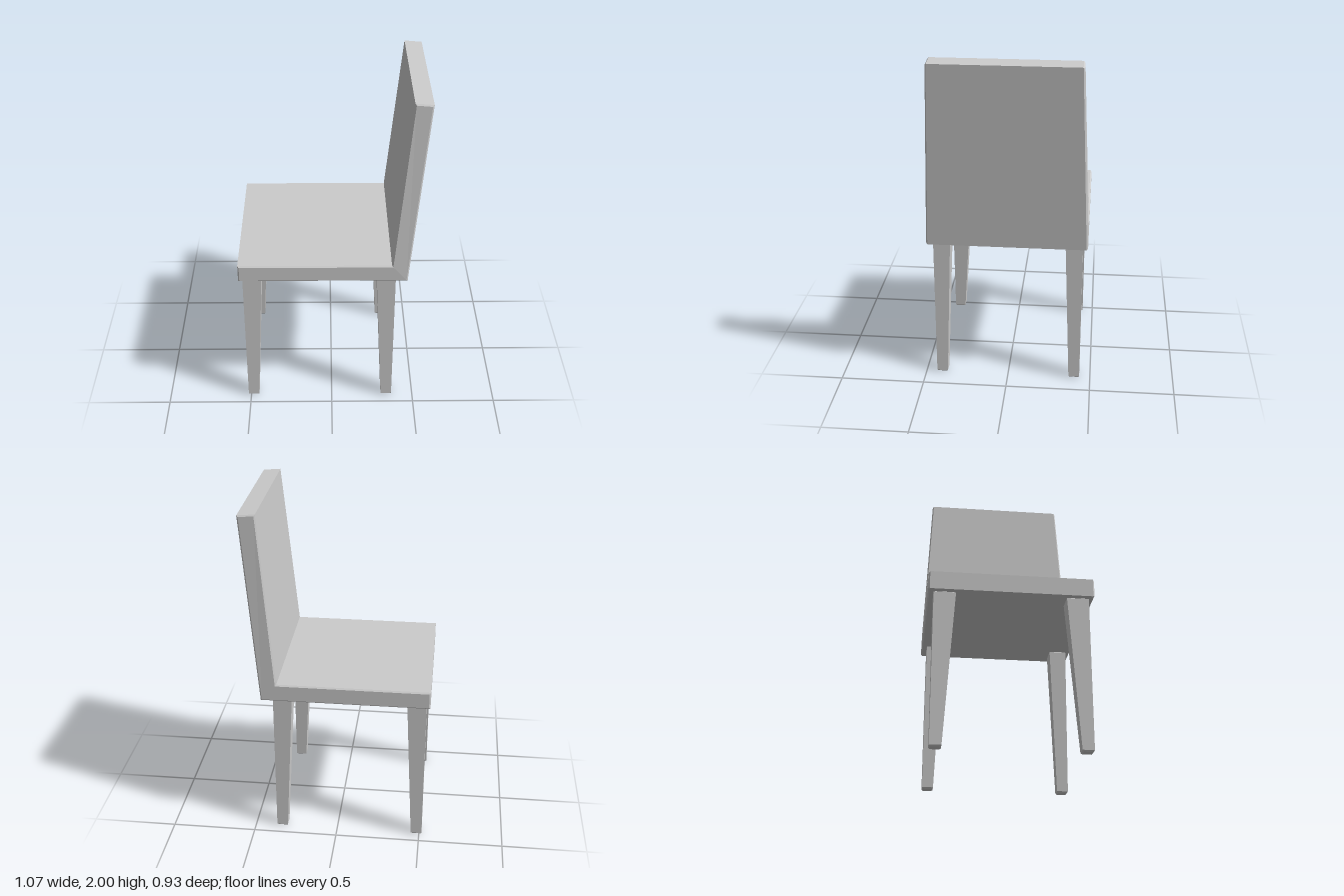
import * as THREE from 'three';

const BEVEL = 0.008;

// Extrude an outline to a centred depth with small chamfers kept inside it
function chamferedSlab(points, depth) {
  const geo = new THREE.ExtrudeGeometry(
    new THREE.Shape(points.map(([x, y]) => new THREE.Vector2(x, y))),
    {
      depth: depth - 2 * BEVEL,
      bevelEnabled: true,
      bevelSegments: 1,
      bevelThickness: BEVEL,
      bevelSize: BEVEL,
      bevelOffset: -BEVEL,
    }
  );
  return geo.translate(0, 0, BEVEL - depth / 2);
}

// Move every vertex by a rule, then refresh the flat normals
function warp(geo, rule) {
  const pos = geo.attributes.position;
  const v = new THREE.Vector3();
  for (let i = 0; i < pos.count; i++) {
    rule(v.fromBufferAttribute(pos, i));
    pos.setXYZ(i, v.x, v.y, v.z);
  }
  geo.computeVertexNormals();
  return geo;
}

export function createModel() {
  const group = new THREE.Group();
  group.name = 'chair';
  const material = new THREE.MeshStandardMaterial({ color: 0xcccccc, flatShading: true });
  const add = (name, geo) => {
    const mesh = new THREE.Mesh(geo, material);
    mesh.name = name;
    group.add(mesh);
  };

  // Seat and leaning backrest in one L-shaped slab, narrowed at the top
  const profile = [
    [-0.538, 0.895], [0.436, 0.895], [0.535, 1.991],
    [0.434, 2.0], [0.343, 1.0], [-0.538, 1.0],
  ];
  add('seatAndBackrest', warp(chamferedSlab(profile, 0.93), (v) => {
    if (v.y > 1.5) v.z *= 0.42 / 0.465;
  }));

  // Square legs: outer faces upright, inner faces taper towards the floor
  const height = 0.895;
  const foot = 0.065;
  const h = foot / 2;
  const square = [[-h, -h], [h, -h], [h, h], [-h, h]];
  const legs = [
    { name: 'LegOnSeatEdge', side: -1, outerX: -0.516, topX: 0.11, topZ: 0.125 },
    { name: 'LegUnderBackrest', side: 1, outerX: 0.37, topX: 0.11, topZ: 0.1 },
  ];
  for (const { name, side, outerX, topX, topZ } of legs) {
    for (const sz of [1, -1]) {
      const geo = chamferedSlab(square, height).rotateX(-Math.PI / 2).translate(0, height / 2, 0);
      add((sz > 0 ? 'front' : 'rear') + name, warp(geo, (v) => {
        const t = v.y / height;
        v.x = outerX + (v.x - side * h) * THREE.MathUtils.lerp(1, topX / foot, t);
        v.z = sz * 0.435 + (v.z - sz * h) * THREE.MathUtils.lerp(1, topZ / foot, t);
      }));
    }
  }

  return group;
}
